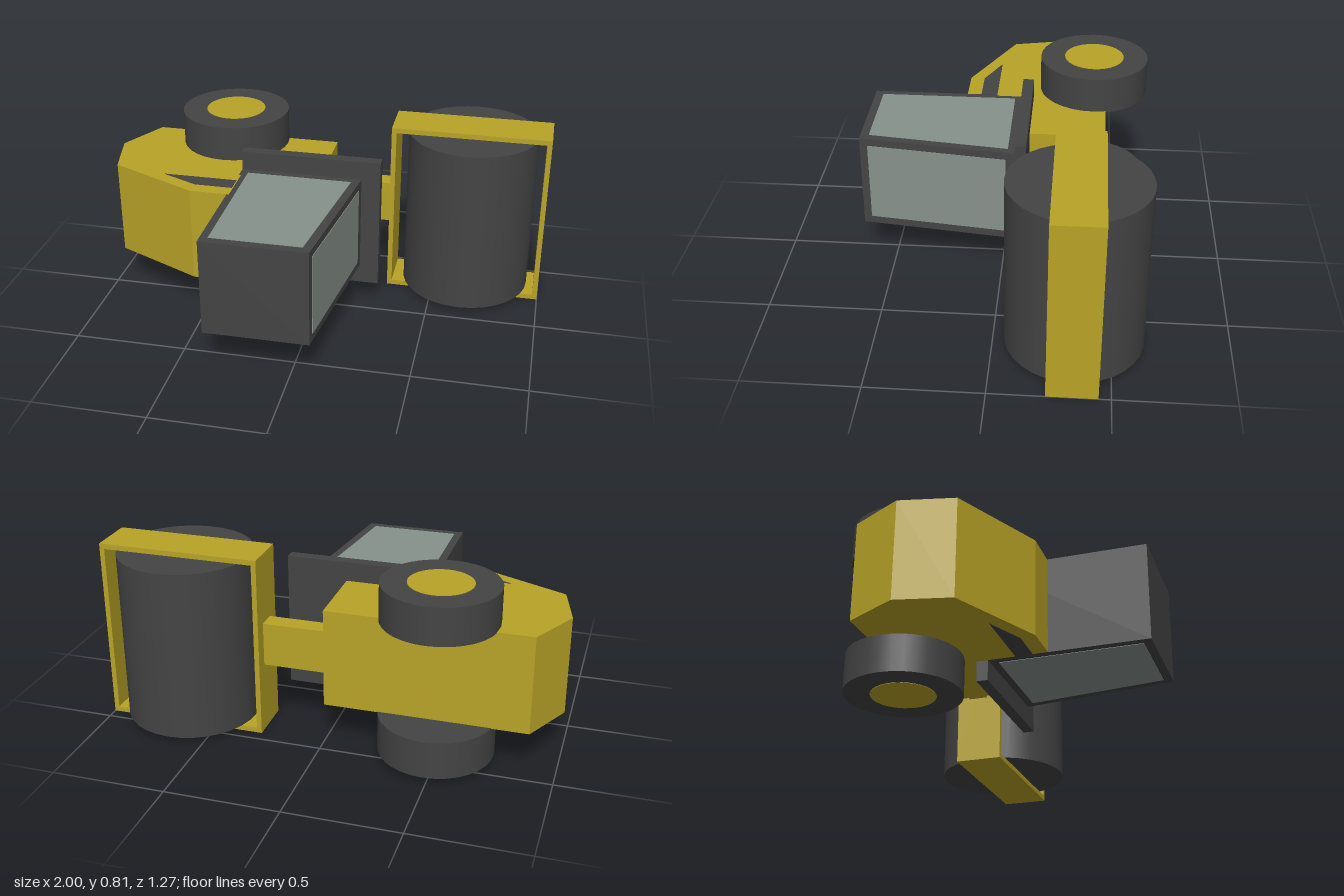
import * as THREE from 'three';

const material = (color) => new THREE.MeshStandardMaterial({ color });

export function createModel() {
  const model = new THREE.Group();
  const yellow = material(0xb8a327);
  const dark = material(0x444444);
  const glass = material(0x87918c);
  const midY = 0.4075;

  const add = (name, geometry, mat) => {
    const mesh = new THREE.Mesh(geometry, mat);
    mesh.name = name;
    model.add(mesh);
    return mesh;
  };
  // Upright prism over an outline of [x, z] points
  const prism = (name, points, y0, y1, mat) => {
    const shape = new THREE.Shape(points.map(([x, z]) => new THREE.Vector2(x, -z)));
    const geometry = new THREE.ExtrudeGeometry(shape, { depth: y1 - y0, bevelEnabled: false });
    geometry.rotateX(-Math.PI / 2).translate(0, y0, 0);
    return add(name, geometry, mat);
  };
  const box = (name, x0, x1, y0, y1, z0, z1, mat) =>
    add(name, new THREE.BoxGeometry(x1 - x0, y1 - y0, z1 - z0), mat)
      .position.set((x0 + x1) / 2, (y0 + y1) / 2, (z0 + z1) / 2);
  const cylinder = (name, x, z, r, y0, y1, mat) =>
    add(name, new THREE.CylinderGeometry(r, r, y1 - y0, 32), mat)
      .position.set(x, (y0 + y1) / 2, z);

  // Engine body, lying on its side
  prism('engineBody', [
    [-0.885, -0.45], [-0.005, -0.45], [-0.005, -0.1], [-0.36, -0.1],
    [-0.36, 0.2], [-0.54, 0.2], [-0.945, 0.01], [-1, -0.225],
  ], 0.19, 0.628, yellow);
  // Dark vent showing on both flanks
  prism('sideVent', [[-0.7, 0.06], [-0.365, 0.06], [-0.365, 0.135], [-0.535, 0.135]],
    0.188, 0.63, dark);

  // Cab floor plate and cab with sloping windshield
  box('cabFloor', -0.37, 0.265, 0.1, 0.715, -0.113, -0.063, dark);
  prism('cab', [[-0.37, -0.064], [0.18, -0.064], [0.093, 0.635], [-0.37, 0.635]],
    0.19, 0.628, dark);
  prism('sideWindows', [[-0.335, -0.027], [0.139, -0.027], [0.06, 0.597], [-0.335, 0.597]],
    0.188, 0.63, glass);
  prism('windshield', [[0.165, -0.02], [0.177, -0.02], [0.1, 0.6], [0.088, 0.6]],
    0.226, 0.594, glass);

  // Rear wheels with hub discs
  for (const side of [-1, 1]) {
    const span = (a, b) => [midY + side * a, midY + side * b].sort((p, q) => p - q);
    cylinder('rearWheel', -0.485, -0.39, 0.25, ...span(0.215, 0.381), dark);
    cylinder('wheelHub', -0.485, -0.39, 0.138, ...span(0.36, 0.383), yellow);
  }

  // Arm joining body and roller yoke
  box('arm', -0.02, 0.29, 0.31, 0.505, -0.39, -0.305, yellow);

  // Rectangular yoke around the drum
  const yoke = new THREE.Shape([[0.285, 0], [1, 0], [1, 0.815], [0.285, 0.815]]
    .map(([x, y]) => new THREE.Vector2(x, y)));
  yoke.holes.push(new THREE.Path([[0.307, 0.023], [0.307, 0.792], [0.978, 0.792], [0.978, 0.023]]
    .map(([x, y]) => new THREE.Vector2(x, y))));
  add('rollerYoke', new THREE.ExtrudeGeometry(yoke, { depth: 0.212, bevelEnabled: false })
    .translate(0, 0, -0.449), yellow);

  cylinder('rollerDrum', 0.648, -0.343, 0.295, 0.027, 0.79, dark);
  return model;
}
